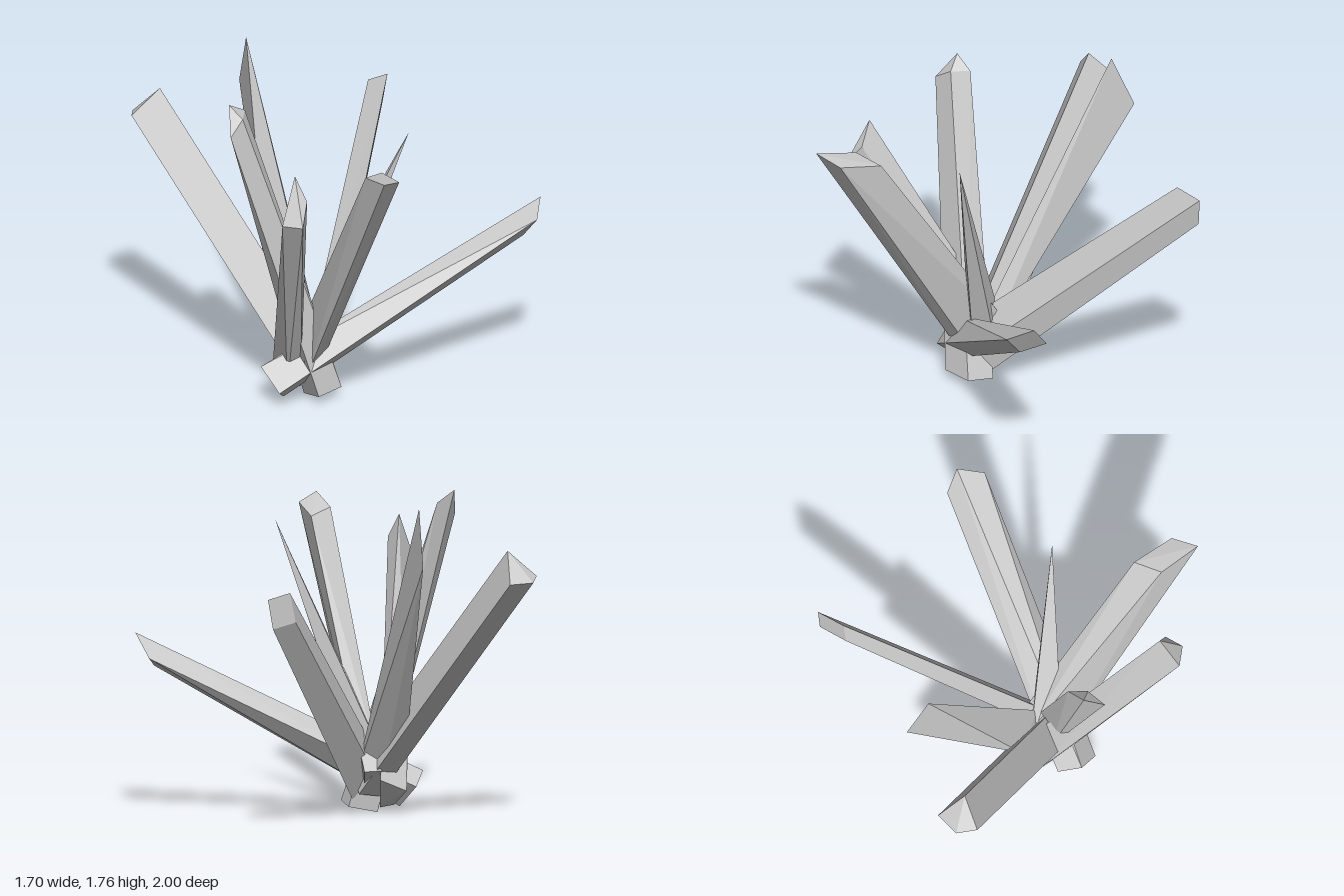
import * as THREE from 'three';
import { ConvexGeometry } from 'three/addons/geometries/ConvexGeometry.js';

const V = (p) => new THREE.Vector3(...p);

// Carry the tip's cross-section square to the axis down to the root centre
function rootSection(tip, centre, scale) {
  const root = V(centre);
  const end = tip.reduce((sum, p) => sum.add(p), V([0, 0, 0])).divideScalar(tip.length);
  const axis = end.clone().sub(root).normalize();
  return tip.map((p) => {
    const offset = p.clone().sub(end);
    return offset.addScaledVector(axis, -offset.dot(axis)).multiplyScalar(scale).add(root);
  });
}

// Straight shards: slanted tip corners, root centre and root width ratio
const shards = [
  { name: 'backLeaningShard', root: [-0.34, 0.14, 0.1], scale: 1,
    tip: [[-0.81, 1.38, -0.91], [-0.74, 1.36, -1], [-0.6, 1.36, -1], [-0.66, 1.52, -0.86]] },
  { name: 'backCornerShard', root: [-0.36, 0.14, 0.14], scale: 1.35,
    tip: [[0.53, 1.35, -0.62], [0.685, 1.33, -0.66], [0.66, 1.17, -0.67], [0.5, 1.19, -0.63]] },
];

// Uneven shards: tip corners and root corners
const uneven = [
  { name: 'frontLeaningShard',
    tip: [[-0.51, 1.59, 1], [-0.37, 1.55, 0.94], [-0.32, 1.51, 0.71], [-0.47, 1.54, 0.77]],
    base: [[-0.41, 0.13, 0.14], [-0.31, 0.1, 0.09], [-0.21, 0.25, -0.09], [-0.31, 0.25, -0.1]] },
  { name: 'frontCornerShard',
    tip: [[-0.85, 1.27, 0.54], [-0.78, 1.27, 0.63], [-0.71, 1.39, 0.57], [-0.74, 1.52, 0.5]],
    base: [[-0.46, 0.13, -0.1], [-0.45, 0.04, 0.02], [-0.37, 0.03, 0.03], [-0.3, 0.2, -0.1]] },
  { name: 'lowShard',
    tip: [[0.85, 1, 0.52], [0.75, 0.93, 0.63], [0.73, 0.81, 0.53], [0.82, 0.87, 0.42]],
    base: [[-0.63, 0.21, 0.03], [-0.6, 0.09, 0.16], [-0.51, 0.02, 0.07], [-0.54, 0.14, -0.06]] },
  { name: 'uprightShard',
    tip: [[-0.82, 1.59, 0.02], [-0.76, 1.73, -0.08], [-0.65, 1.67, -0.09], [-0.72, 1.66, -0.01]],
    base: [[-0.4, 0.05, 0.24], [-0.37, 0, 0.06], [-0.2, 0.04, 0.07], [-0.23, 0.055, 0.21]] },
  { name: 'bladeShard',
    tip: [[-0.21, 1.76, -0.7], [-0.17, 1.46, -0.82]],
    base: [[-0.41, 0.44, -0.2], [-0.36, 0.15, 0], [-0.25, 0.2, 0.08], [-0.29, 0.45, 0.02]] },
  { name: 'spikeShard',
    tip: [[0.04, 1.56, 0.45]],
    base: [[-0.41, 0.33, 0.09], [-0.31, 0.4, -0.03], [-0.23, 0.3, 0.05], [-0.29, 0.25, 0.14]] },
];

export function createModel() {
  const model = new THREE.Group();
  model.name = 'crystalCluster';
  const material = new THREE.MeshStandardMaterial({ color: 0xcccccc, flatShading: true });

  for (const { name, tip, base, root, scale } of [...shards, ...uneven]) {
    const end = tip.map(V);
    const foot = base ? base.map(V) : rootSection(end, root, scale);
    const shard = new THREE.Mesh(new ConvexGeometry([...end, ...foot]), material);
    shard.name = name;
    model.add(shard);
  }
  return model;
}
